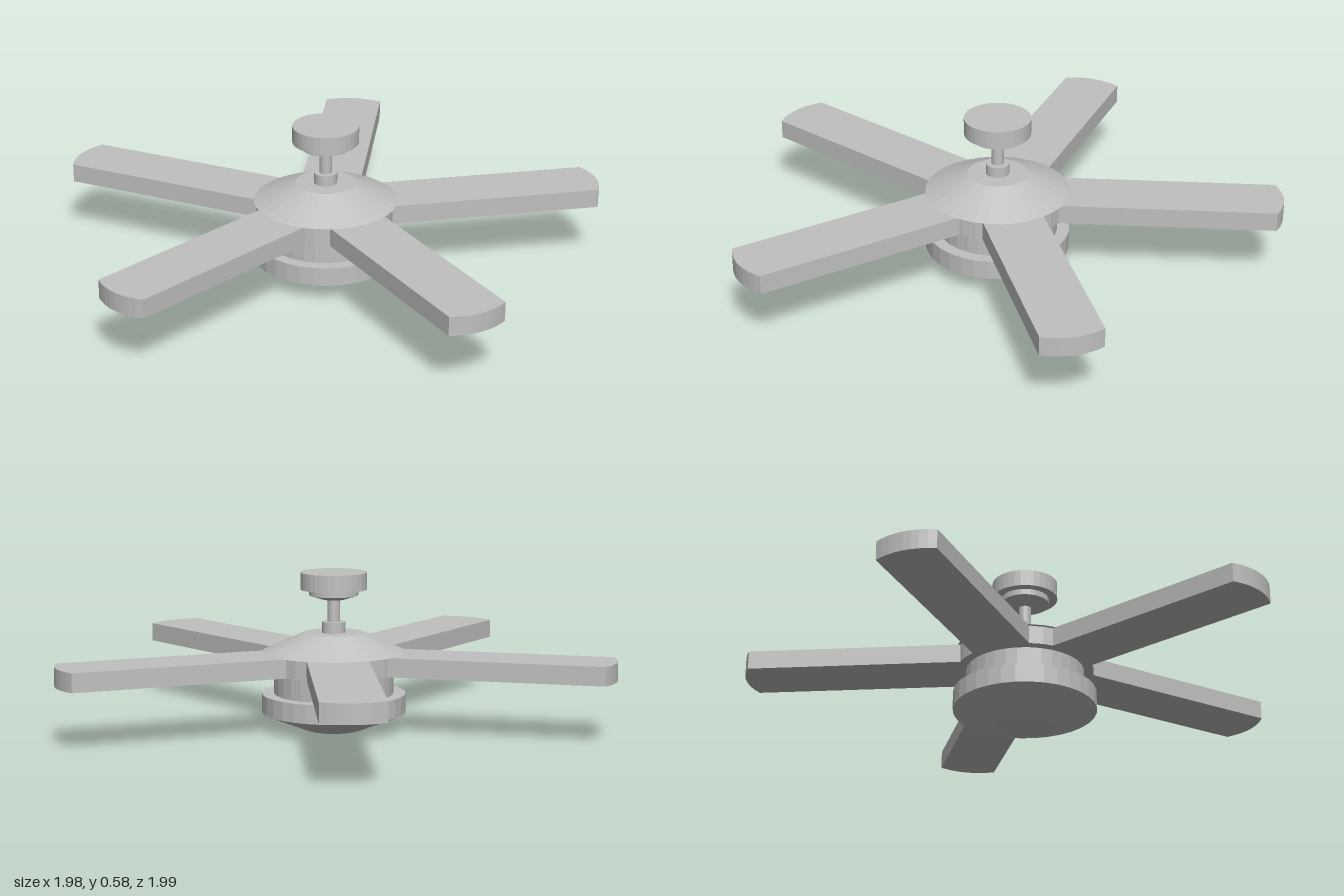
import * as THREE from 'three';

export function createModel() {
  const fan = new THREE.Group();
  fan.name = 'ceilingFan';
  const grey = new THREE.MeshStandardMaterial({ color: 0xc0c0c0, flatShading: true });
  grey.name = 'grey metal';

  // Everything turns about the hub axis, slightly off the bounding-box centre
  const hub = new THREE.Group();
  hub.name = 'hub';
  hub.position.set(0.042, 0, -0.036);
  fan.add(hub);

  const add = (name, geometry) => {
    const mesh = new THREE.Mesh(geometry, grey);
    mesh.name = name;
    hub.add(mesh);
    return mesh;
  };
  // Round part given as [radius, height] pairs from bottom to top
  const turned = (name, profile) =>
    add(name, new THREE.LatheGeometry(profile.map(([r, y]) => new THREE.Vector2(r, y)), 32));

  // Lower cup and motor housing
  turned('lowerCup', [[0, 0], [0.105, 0], [0.265, 0.065], [0.265, 0.135], [0, 0.135]]);
  turned('motorHousing', [[0, 0.13], [0.22, 0.13], [0.22, 0.222], [0, 0.222]]);

  // Ring that carries the blades, with the sloping hood on top
  turned('bladeRing', [[0, 0.22], [0.255, 0.22], [0.255, 0.289], [0, 0.289]]);
  turned('hood', [[0, 0.29], [0.265, 0.29], [0.11, 0.36], [0, 0.36]]);

  // Hanging rod, collar and ceiling mount
  turned('rodCollar', [[0, 0.355], [0.043, 0.355], [0.043, 0.4], [0, 0.4]]);
  turned('hangingRod', [[0, 0.39], [0.023, 0.39], [0.023, 0.5], [0, 0.5]]);
  turned('mountStep', [[0, 0.483], [0.042, 0.483], [0.09, 0.498], [0.09, 0.522], [0, 0.522]]);
  turned('ceilingMount', [[0, 0.52], [0.122, 0.52], [0.122, 0.583], [0, 0.583]]);

  // Five flat blades with gently curved tips
  const half = 0.111;
  const outline = new THREE.Shape();
  outline.moveTo(0.2, -half);
  outline.lineTo(1.015, -half);
  outline.quadraticCurveTo(1.071, 0, 1.015, half);
  outline.lineTo(0.2, half);
  outline.closePath();
  const bladeGeometry = new THREE.ExtrudeGeometry(outline, {
    depth: 0.07, bevelEnabled: false, curveSegments: 8,
  });
  bladeGeometry.rotateX(-Math.PI / 2);
  for (let i = 0; i < 5; i++) {
    const blade = add('blade' + (i + 1), bladeGeometry);
    blade.position.y = 0.22;
    blade.rotation.y = -THREE.MathUtils.degToRad(28.5 + i * 72);
  }
  return fan;
}
